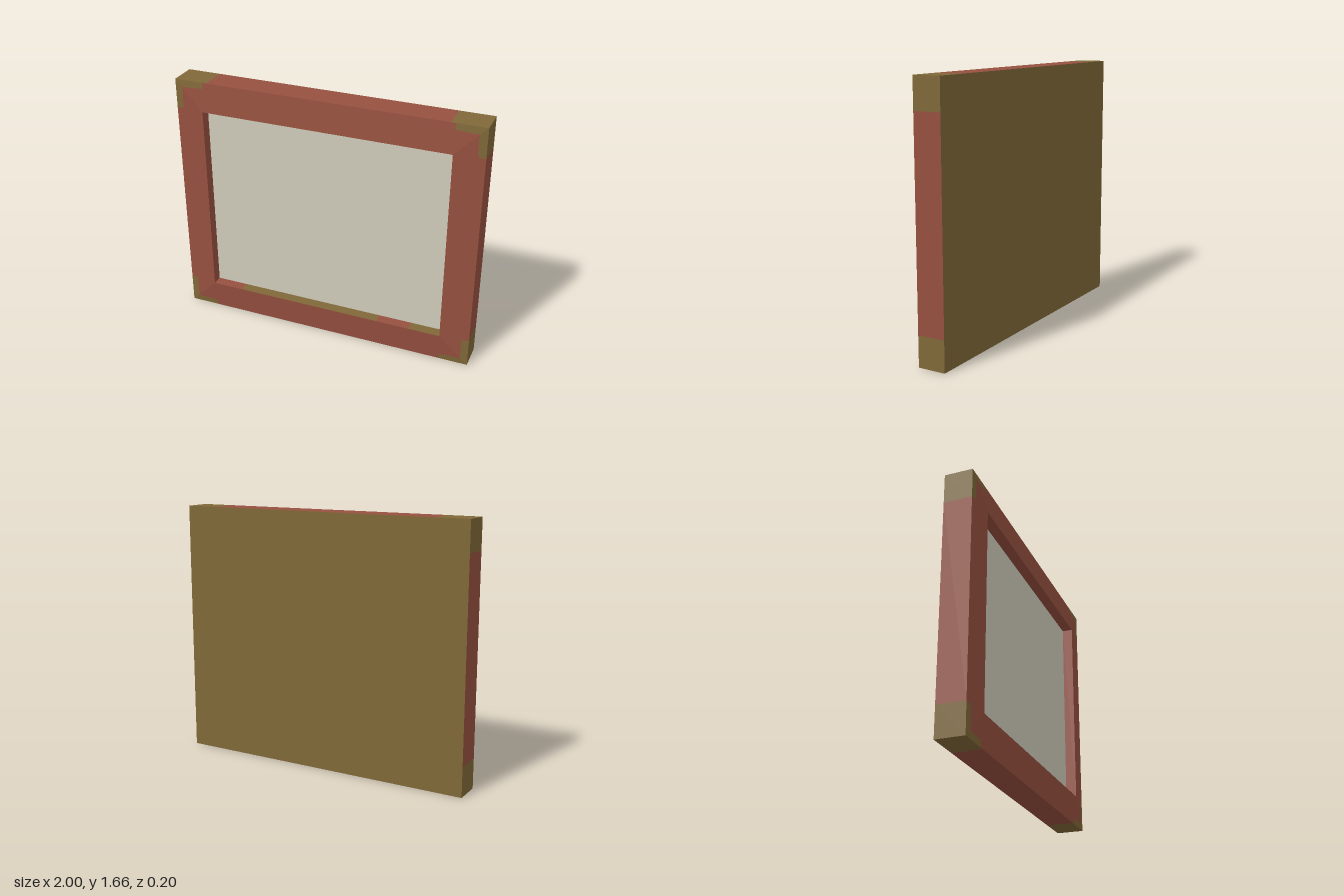
import * as THREE from 'three';

const W = 2, H = 1.665, RAIL = 0.19;
const BACK = -0.1, EDGE = 0.08, RIM = 0.1, PANEL = 0.03;

export function createModel() {
  const paint = (name, color) => {
    const m = new THREE.MeshStandardMaterial({ color });
    m.name = name;
    return m;
  };
  const red = paint('red wood', 0x96503f);
  const brass = paint('brass brown', 0x806838);
  const cream = paint('cream canvas', 0xd0ccbc);

  const model = new THREE.Group();
  model.name = 'pictureFrame';
  const add = (parent, name, geometry, material) => {
    const mesh = new THREE.Mesh(geometry, material);
    mesh.name = name;
    parent.add(mesh);
    return mesh;
  };

  // Sloping front piece: u runs along the rail, v runs inward
  const bevel = (parent, name, points, material) => {
    const g = new THREE.ShapeGeometry(new THREE.Shape(points.map(p => new THREE.Vector2(...p))));
    const pos = g.attributes.position;
    for (let i = 0; i < pos.count; i++) {
      pos.setZ(i, EDGE + (RIM - EDGE) * pos.getY(i) / RAIL);
    }
    g.computeVertexNormals();
    add(parent, name, g, material);
  };

  // Wall strip along u at depth v, facing outward (side = 1) or inward (side = -1)
  const wall = (parent, name, u0, u1, v, z0, z1, side, material) => {
    const g = new THREE.PlaneGeometry(u1 - u0, z1 - z0);
    g.rotateX(side * Math.PI / 2);
    g.translate((u0 + u1) / 2, v, (z0 + z1) / 2);
    add(parent, name, g, material);
  };

  // One rail with brass corner ends; inner lists [start, end, material]
  const makeRail = (name, length, arm, cap, inner) => {
    const rail = new THREE.Group();
    rail.name = name;
    const corner = [[0, 0], [RAIL, 0], [RAIL, arm - 0.005], [0.065, arm], [0.045, 0.045]];
    const flip = ([u, v]) => [length - u, v];
    const rest = corner.slice(1);
    bevel(rail, 'cornerStart', corner, brass);
    bevel(rail, 'cornerEnd', corner.map(flip).reverse(), brass);
    bevel(rail, 'railFront', [
      ...rest, [RAIL, RAIL], [length - RAIL, RAIL], ...rest.map(flip).reverse(),
    ], red);
    wall(rail, 'outerStart', 0, cap, 0, BACK, EDGE, 1, brass);
    wall(rail, 'outerMiddle', cap, length - cap, 0, BACK, EDGE, 1, red);
    wall(rail, 'outerEnd', length - cap, length, 0, BACK, EDGE, 1, brass);
    for (const [a, b, material] of inner) {
      wall(rail, 'innerLip', a, b, RAIL, PANEL, RIM, -1, material);
    }
    model.add(rail);
    return rail;
  };

  const plain = length => [[RAIL, length - RAIL, red]];
  const sill = [[RAIL, 0.4, red], [0.4, 1.38, brass], [1.38, 1.6, red], [1.6, W - RAIL, brass]];

  // Rails run counterclockwise around the frame
  const bottom = makeRail('bottomRail', W, 0.042, 0.22, sill);
  bottom.position.set(-1, 0, 0);
  const left = makeRail('leftRail', H, 0.05, 0.195, plain(H));
  left.position.set(1, 0, 0);
  left.rotation.z = Math.PI / 2;
  const top = makeRail('topRail', W, 0.045, 0.22, plain(W));
  top.position.set(1, H, 0);
  top.rotation.z = Math.PI;
  const right = makeRail('rightRail', H, 0.05, 0.195, plain(H));
  right.position.set(-1, H, 0);
  right.rotation.z = -Math.PI / 2;

  // Recessed canvas and flat back
  add(model, 'canvas', new THREE.PlaneGeometry(W - 2 * RAIL, H - 2 * RAIL), cream)
    .position.set(0, H / 2, PANEL);
  const back = add(model, 'backPanel', new THREE.PlaneGeometry(W, H), brass);
  back.position.set(0, H / 2, BACK);
  back.rotation.y = Math.PI;

  return model;
}
